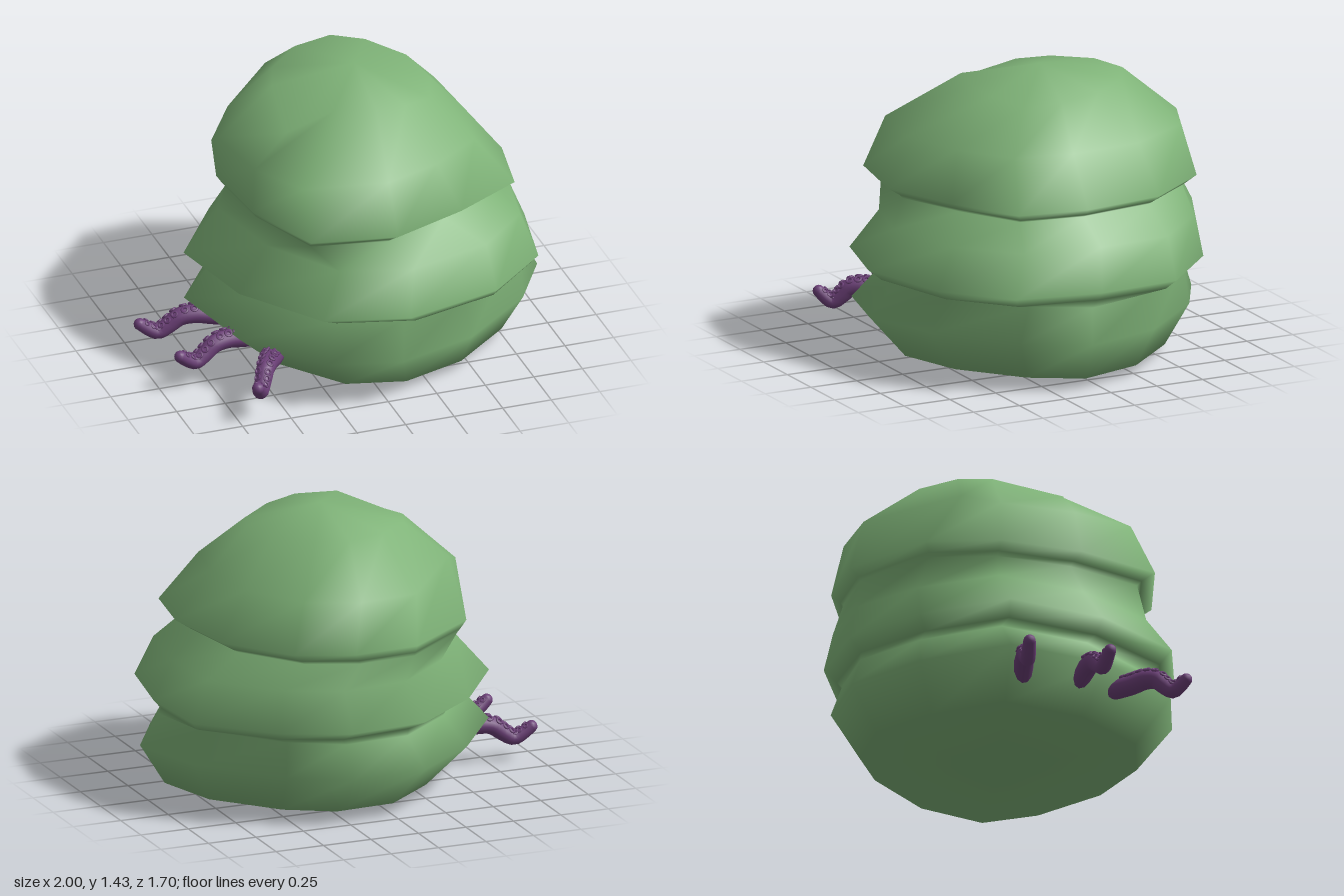
import * as THREE from 'three';

const skin = new THREE.MeshStandardMaterial({ color: 0x7fb378 });
skin.name = 'green skin';
const purple = new THREE.MeshStandardMaterial({ color: 0x6c4078 });
purple.name = 'purple flesh';

// Irregular twelve-sided outlines of the three folds, [x, z]
const lower = [[1, 0.1], [0.82, 0.4], [0.45, 0.7], [0.05, 0.83], [-0.31, 0.74], [-0.62, 0.35],
  [-0.73, -0.15], [-0.45, -0.54], [-0.12, -0.8], [0.26, -0.82], [0.55, -0.66], [0.88, -0.3]];
const middle = [[0.96, 0.02], [0.88, 0.45], [0.57, 0.72], [0.08, 0.85], [-0.33, 0.74], [-0.62, 0.33],
  [-0.73, -0.16], [-0.46, -0.55], [-0.12, -0.82], [0.28, -0.86], [0.6, -0.72], [0.93, -0.4]];
const dome = [[0.84, 0.04], [0.78, 0.39], [0.44, 0.58], [0.06, 0.73], [-0.36, 0.65], [-0.52, 0.25],
  [-0.56, -0.16], [-0.46, -0.51], [-0.08, -0.8], [0.25, -0.82], [0.53, -0.71], [0.78, -0.38]];

// Uneven top of the dome, [x, y, z]
const shoulder = [[0.66, 1.12, 0.03], [0.6, 1.12, 0.32], [0.34, 1.12, 0.5], [0.05, 1.13, 0.62],
  [-0.36, 1.12, 0.53], [-0.5, 1.1, 0.22], [-0.55, 1.09, -0.16], [-0.44, 1.16, -0.33],
  [-0.1, 1.13, -0.74], [0.2, 1.13, -0.77], [0.46, 1.13, -0.66], [0.63, 1.12, -0.34]];
const crown = [[0.48, 1.33, 0], [0.42, 1.31, 0.18], [0.26, 1.34, 0.27], [0.1, 1.36, 0.3],
  [-0.1, 1.365, 0.25], [-0.33, 1.26, 0.2], [-0.28, 1.34, -0.14], [-0.22, 1.35, -0.3],
  [-0.05, 1.36, -0.45], [0.15, 1.36, -0.5], [0.3, 1.35, -0.42], [0.44, 1.34, -0.22]];

// Places an outline at height y, fitted to the given x and z ranges
function section(y, outline, x0, x1, z0, z1) {
  const box = new THREE.Box2().setFromPoints(outline.map(([x, z]) => new THREE.Vector2(x, z)));
  return outline.map(([x, z]) => [THREE.MathUtils.mapLinear(x, box.min.x, box.max.x, x0, x1), y,
    THREE.MathUtils.mapLinear(z, box.min.y, box.max.y, z0, z1)]);
}

// Cross-sections from the base up
const rings = [
  section(0.05, lower, -0.5, 0.88, -0.67, 0.67),
  section(0.25, lower, -0.73, 1.0, -0.82, 0.83),
  section(0.415, lower, -0.58, 0.92, -0.76, 0.71),
  section(0.45, middle, -0.61, 0.92, -0.78, 0.8),
  section(0.495, middle, -0.73, 0.96, -0.85, 0.85),
  section(0.7, middle, -0.55, 0.88, -0.8, 0.74),
  section(0.82, dome, -0.51, 0.73, -0.77, 0.64),
  section(0.84, dome, -0.53, 0.77, -0.78, 0.66),
  section(0.885, dome, -0.56, 0.84, -0.82, 0.73),
  shoulder,
  crown,
];

function bodyGeometry() {
  const n = lower.length;
  const pos = rings.flat(2);
  const index = [];
  const bottom = pos.length / 3;
  pos.push(0.18, 0, 0, 0.12, 1.43, -0.07);
  const last = (rings.length - 1) * n;
  for (let j = 0; j < n; j++) {
    const k = (j + 1) % n;
    for (let i = 0; i < rings.length - 1; i++) {
      const a = i * n + j, b = i * n + k;
      index.push(a, a + n, b, b, a + n, b + n);
    }
    index.push(bottom, j, k, bottom + 1, last + k, last + j);
  }
  const g = new THREE.BufferGeometry();
  g.setAttribute('position', new THREE.Float32BufferAttribute(pos, 3));
  g.setIndex(index);
  g.computeVertexNormals();
  return g;
}

// Wavy tapering tentacle with two rows of suckers along its top
function tentacle(name, from, to, lift) {
  const group = new THREE.Group();
  group.name = name;
  const wave = [[0, 0.17], [0.22, 0.18], [0.42, 0.195], [0.58, 0.185], [0.7, 0.145], [0.81, 0.115], [0.91, 0.135], [1, 0.165]];
  const curve = new THREE.CatmullRomCurve3(wave.map(([t, y]) => new THREE.Vector3(
    from[0] + (to[0] - from[0]) * t, y + lift, from[1] + (to[1] - from[1]) * t)));
  const radius = (t) => 0.051 - 0.021 * t * t;

  const steps = 28, sides = 12;
  const tube = new THREE.TubeGeometry(curve, steps, 1, sides);
  const p = tube.attributes.position;
  const v = new THREE.Vector3();
  for (let i = 0; i <= steps; i++) {
    const c = curve.getPointAt(i / steps);
    for (let j = 0; j <= sides; j++) {
      const k = i * (sides + 1) + j;
      v.fromBufferAttribute(p, k).sub(c).multiplyScalar(radius(i / steps)).add(c);
      p.setXYZ(k, v.x, v.y, v.z);
    }
  }
  const arm = new THREE.Mesh(tube, purple);
  arm.name = 'arm';
  group.add(arm);

  // Rounded ends
  for (const t of [0, 1]) {
    const end = new THREE.Mesh(new THREE.SphereGeometry(radius(t), 12, 8), purple);
    end.name = t ? 'tip' : 'root';
    end.position.copy(curve.getPointAt(t));
    group.add(end);
  }

  // Suckers
  const up = new THREE.Vector3(0, 1, 0);
  for (let i = 0; i < 12; i++) {
    const t = 0.1 + i * 0.078;
    const c = curve.getPointAt(t);
    const along = curve.getTangentAt(t);
    const side = new THREE.Vector3().crossVectors(along, up).normalize();
    const top = new THREE.Vector3().crossVectors(side, along).normalize();
    for (const s of [-1, 1]) {
      const dir = top.clone().multiplyScalar(0.85).addScaledVector(side, s * 0.53).normalize();
      const r = radius(t);
      const sucker = new THREE.Mesh(new THREE.TorusGeometry(r * 0.32, r * 0.14, 5, 10), purple);
      sucker.name = 'sucker';
      sucker.position.copy(c).addScaledVector(dir, r * 1.05);
      sucker.quaternion.setFromUnitVectors(new THREE.Vector3(0, 0, 1), dir);
      group.add(sucker);
    }
  }
  return group;
}

export function createModel() {
  const model = new THREE.Group();
  model.name = 'folded creature';
  const body = new THREE.Mesh(bodyGeometry(), skin);
  body.name = 'body';
  model.add(body);
  model.add(
    tentacle('backTentacle', [-0.5, -0.05], [-0.97, -0.115], 0),
    tentacle('middleTentacle', [-0.46, 0.22], [-0.91, 0.3], 0.02),
    tentacle('frontTentacle', [-0.47, 0.43], [-0.665, 0.735], 0.02),
  );
  return model;
}
